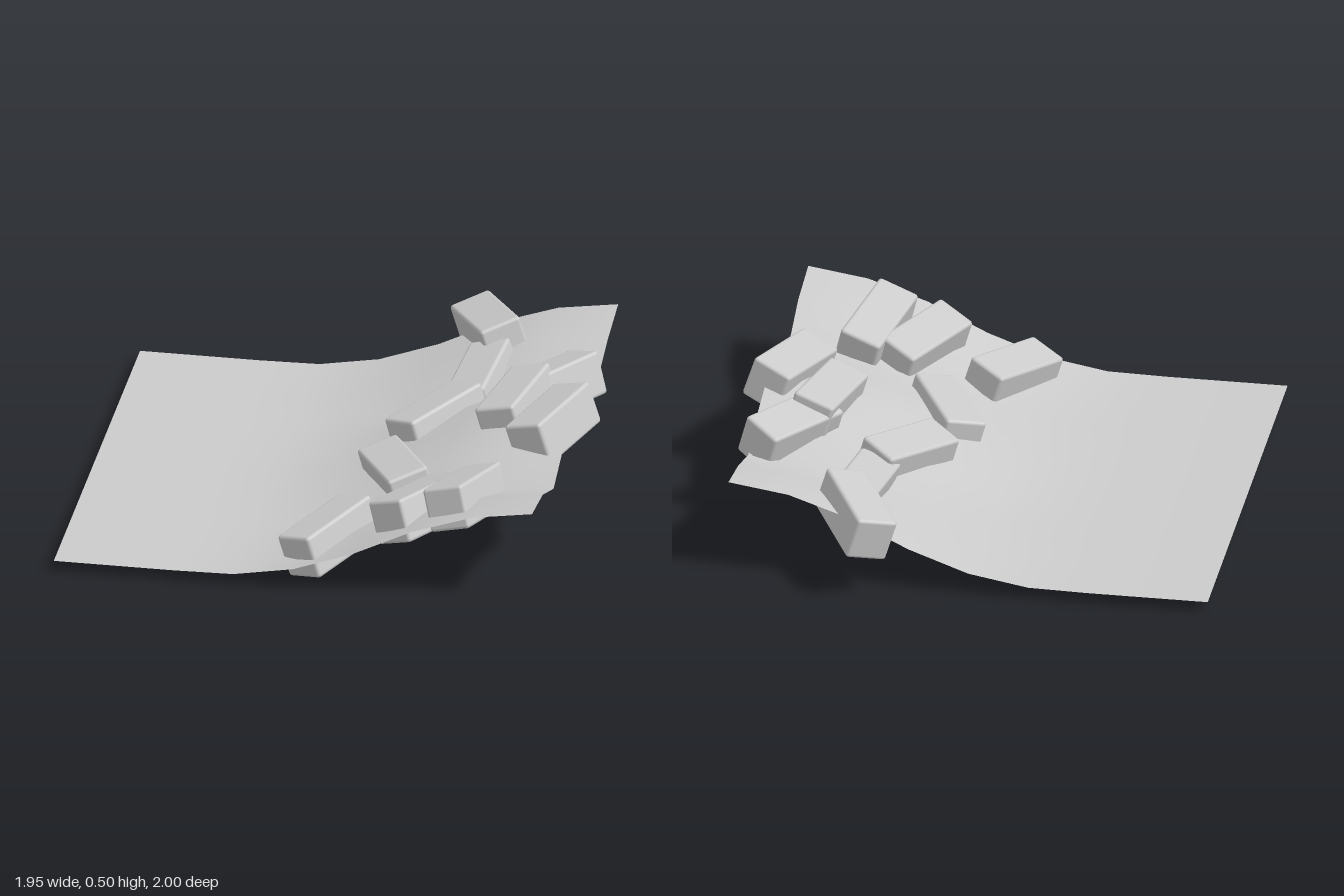
import * as THREE from 'three';
import { RoundedBoxGeometry } from 'three/addons/geometries/RoundedBoxGeometry.js';

const RAD = Math.PI / 180;

// Sloping ground sheet: height rises along x, scaled by two valleys along z
function buildGround() {
  const rise = [0, 0, 0, 0.004, 0.045, 0.13, 0.245, 0.325, 0.36];
  const valley = [1, 0.88, 0.68, 0.89, 1, 0.9, 0.68, 0.92, 1]; // back to front
  const geo = new THREE.PlaneGeometry(1.86, 1.86, 8, 8);
  geo.rotateX(-Math.PI / 2);
  geo.translate(-0.05, 0, 0.07);
  const pos = geo.attributes.position;
  for (let i = 0; i < pos.count; i++) {
    pos.setY(i, 0.04 + rise[i % 9] * valley[Math.floor(i / 9)]);
  }
  geo.computeVertexNormals();
  const ground = new THREE.Mesh(geo, new THREE.MeshStandardMaterial({
    color: 0xcccccc, side: THREE.DoubleSide,
  }));
  ground.name = 'ground';
  return ground;
}

export function createModel() {
  const model = new THREE.Group();
  model.name = 'blocksOnSlope';
  model.add(buildGround());

  // Scattered blocks: x, y, z, yaw, pitch, roll (degrees)
  const blocks = [
    [0.395, 0.275, -0.8, 30, 0, 17],
    [0.425, 0.21, -0.47, -6, 5, 17],
    [0.31, 0.2, -0.14, -37, -3, 16],
    [0.74, 0.33, -0.25, -37, -10, 15],
    [0.64, 0.35, -0.025, -13, 0, 16],
    [0.81, 0.375, 0.16, -22, -2, 18],
    [0.23, 0.16, 0.29, 30, 3, 15],
    [0.05, 0.12, 0.755, -32, -1, 17],
    [0.39, 0.245, 0.71, -30, -12, 16],
    [0.57, 0.305, 0.705, -15, -13, 14],
  ];
  const geo = new RoundedBoxGeometry(0.168, 0.172, 0.375, 2, 0.014);
  const mat = new THREE.MeshStandardMaterial({ color: 0xcccccc });
  blocks.forEach(([x, y, z, yaw, pitch, roll], i) => {
    const block = new THREE.Mesh(geo, mat);
    block.name = `block${i + 1}`;
    block.position.set(x, y, z);
    block.rotation.set(pitch * RAD, yaw * RAD, roll * RAD, 'XZY');
    model.add(block);
  });
  return model;
}
